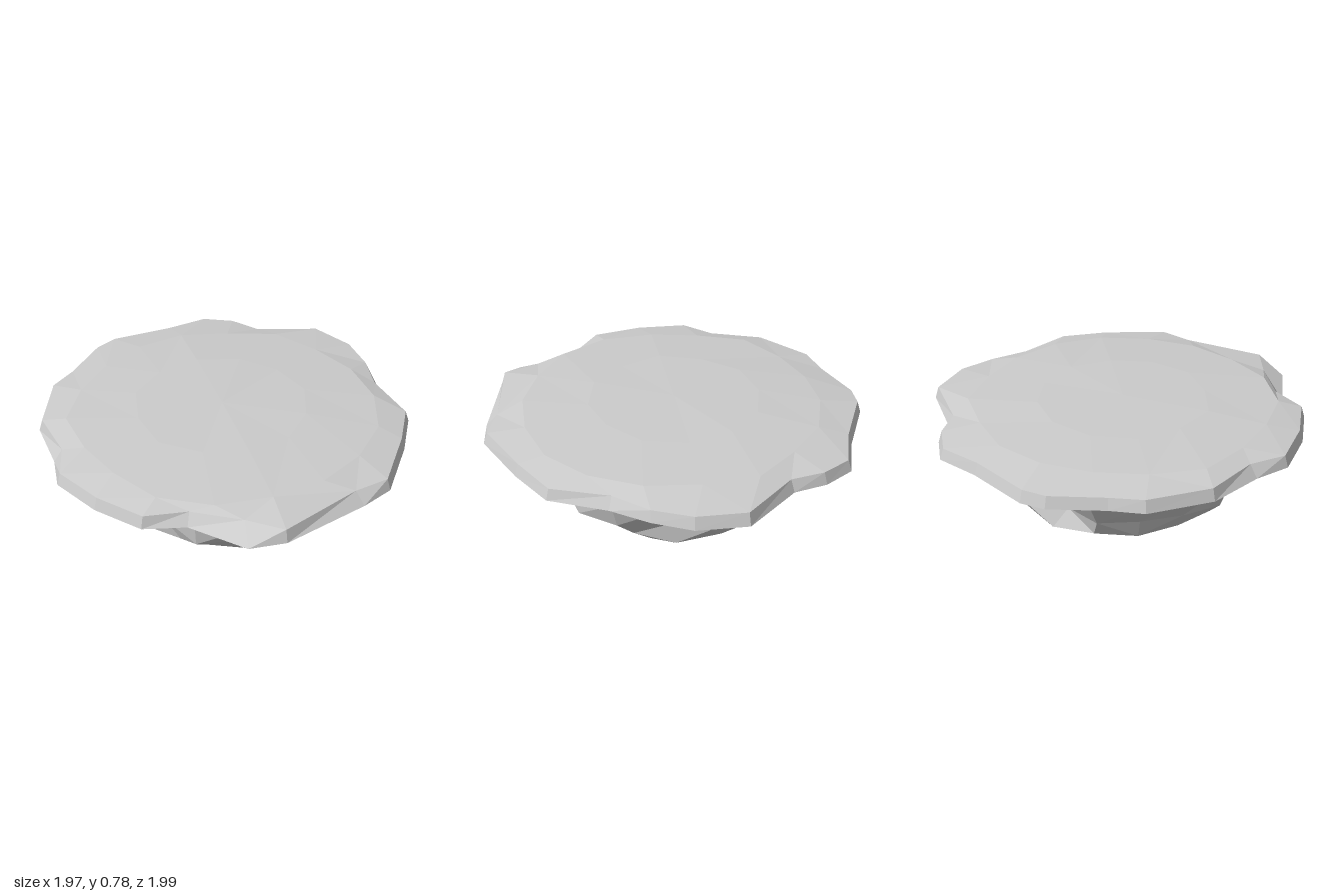
import * as THREE from 'three';

const TAU = Math.PI * 2;

// Small seeded generator, returns -1..1
let seed = 7;
const wobble = () => {
  seed = (seed * 16807) % 2147483647;
  return (seed / 2147483647) * 2 - 1;
};

// Ring of points from radii at even angles (from +x towards +z)
function ring(y, radii, cx = 0, cz = 0, yJitter = 0, turn = 0) {
  return radii.map((r, i) => {
    const a = ((i + turn) / radii.length) * TAU;
    return new THREE.Vector3(cx + r * Math.cos(a), y + yJitter * wobble(), cz + r * Math.sin(a));
  });
}

// Joins rings listed from bottom to top; neighbours may differ in point count
function skin(name, rings) {
  const pos = [];
  const tri = (...pts) => pts.forEach((p) => pos.push(p.x, p.y, p.z));
  const angle = (r, k) => {
    const p = r[k % r.length];
    let a = Math.atan2(p.z, p.x);
    if (a < -0.3) a += TAU;
    return a + (k >= r.length ? TAU : 0);
  };
  for (let s = 0; s + 1 < rings.length; s++) {
    const lo = rings[s], hi = rings[s + 1];
    const n = lo.length > 1 ? lo.length : 0, m = hi.length > 1 ? hi.length : 0;
    let i = 0, j = 0;
    while (i < n || j < m) {
      const p = lo[i % lo.length], q = hi[j % hi.length];
      if (j >= m || (i < n && angle(lo, i + 1) <= angle(hi, j + 1))) tri(p, q, lo[++i % lo.length]);
      else tri(p, q, hi[++j % hi.length]);
    }
  }
  const geo = new THREE.BufferGeometry();
  geo.setAttribute('position', new THREE.Float32BufferAttribute(pos, 3));
  geo.computeVertexNormals();
  const mesh = new THREE.Mesh(geo, new THREE.MeshStandardMaterial({ color: 0xcccccc, flatShading: true }));
  mesh.name = name;
  return mesh;
}

export function createModel() {
  seed = 7;
  const group = new THREE.Group();
  group.name = 'floatingRockIsland';

  // Overhanging rim outline (x, z)
  const outline = [
    [0.98, -0.22], [0.98, 0.05], [0.94, 0.41], [0.83, 0.56], [0.51, 0.91], [0.34, 0.99], [0.03, 0.9],
    [-0.18, 0.96], [-0.44, 0.87], [-0.68, 0.72], [-0.76, 0.54], [-0.93, 0.29], [-0.985, -0.05],
    [-0.93, -0.22], [-0.87, -0.51], [-0.8, -0.62], [-0.51, -0.82], [-0.33, -0.985], [-0.15, -0.99],
    [0.02, -0.935], [0.37, -1], [0.59, -0.86], [0.71, -0.68], [0.8, -0.48],
  ];
  const rim = outline.map(([x, z]) => new THREE.Vector3(x, 0.66, z));

  // Upper lip, pulled in a little, more so at the front and right notches
  const pulledIn = { 3: 0.94, 5: 0.87, 6: 0.95, 10: 0.95, 19: 0.97, 23: 0.96 };
  const lip = outline.map(([x, z], i) => {
    const k = pulledIn[i] ?? 0.98;
    return new THREE.Vector3(x * k, 0.722 + 0.004 * wobble(), z * k);
  });

  // Gently domed top
  const dome = (n, r, y) => ring(y, Array.from({ length: n }, () => r * (1 + 0.05 * wobble())), 0, 0, 0.003);
  group.add(skin('islandTop', [
    rim, lip, dome(18, 0.8, 0.752), dome(12, 0.46, 0.773), [new THREE.Vector3(0, 0.782, 0)],
  ]));

  // Faceted rock below, with hollows pushed into its sides
  const foot = ring(0.025, [0.18, 0.16, 0.15, 0.18, 0.21, 0.23, 0.23, 0.2], 0.01, -0.02, 0.006);
  const low = ring(0.1, [0.35, 0.36, 0.4, 0.39, 0.38, 0.36, 0.33, 0.35, 0.36, 0.34, 0.35, 0.37], 0, 0, 0.015);
  const belly = ring(0.215, [0.5, 0.53, 0.5, 0.49, 0.51, 0.54, 0.51, 0.5, 0.53, 0.55, 0.56, 0.55, 0.53, 0.51], 0, 0, 0.02);
  const waist = ring(0.325, [0.65, 0.63, 0.47, 0.61, 0.62, 0.53, 0.63, 0.59, 0.55, 0.58, 0.49, 0.62, 0.61, 0.62, 0.53, 0.63], 0, 0, 0.015);
  const neck = ring(0.487, [0.66, 0.69, 0.62, 0.7, 0.65, 0.64, 0.69, 0.7, 0.68, 0.69, 0.62, 0.68, 0.64, 0.68, 0.66, 0.68], 0, 0, 0.008);
  group.add(skin('rockBase', [[new THREE.Vector3(0.06, 0, 0.04)], foot, low, belly, waist, neck, rim]));

  return group;
}
